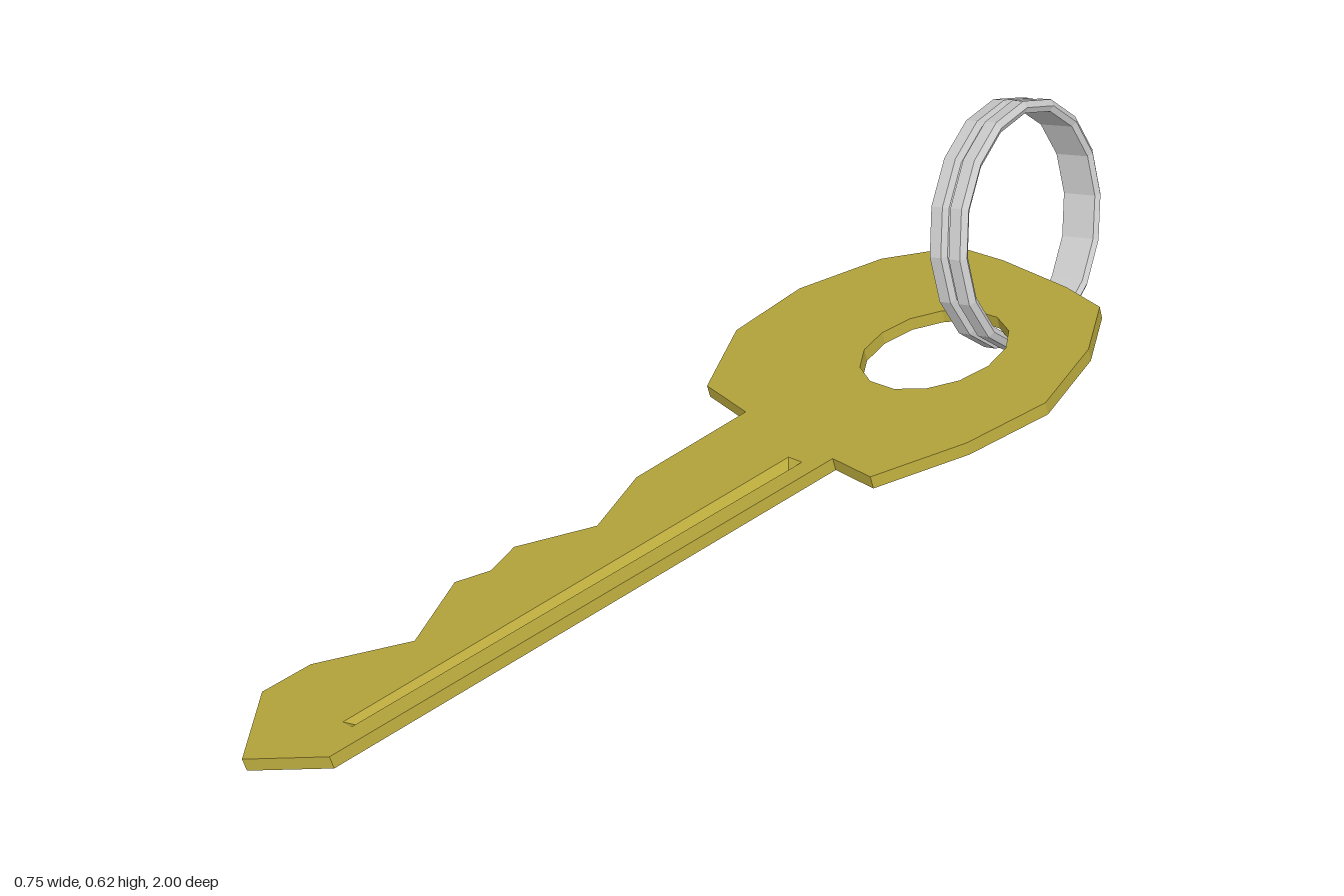
import * as THREE from 'three';
import { mergeGeometries } from 'three/addons/utils/BufferGeometryUtils.js';

const v2 = (pairs) => pairs.map(([x, y]) => new THREE.Vector2(x, y));

// Strip of quads joining a lower loop to an upper loop (counter-clockwise loops face outward).
function walls(loop, zLow, zHigh, lowLoop = loop) {
  const pos = [];
  loop.forEach((a, i) => {
    const j = (i + 1) % loop.length;
    const b = loop[j], la = lowLoop[i], lb = lowLoop[j];
    pos.push(la.x, la.y, zLow, lb.x, lb.y, zLow, b.x, b.y, zHigh);
    pos.push(la.x, la.y, zLow, b.x, b.y, zHigh, a.x, a.y, zHigh);
  });
  const g = new THREE.BufferGeometry();
  g.setAttribute('position', new THREE.Float32BufferAttribute(pos, 3));
  return g;
}

// Flat face with holes, optionally turned over.
function cap(outline, holes, z, flip) {
  const shape = new THREE.Shape(outline);
  holes.forEach((h) => shape.holes.push(new THREE.Path(h)));
  const indexed = new THREE.ShapeGeometry(shape);
  if (flip) indexed.index.array.reverse();
  const g = indexed.toNonIndexed();
  g.deleteAttribute('uv');
  g.deleteAttribute('normal');
  return g.translate(0, 0, z);
}

function keyGeometry() {
  // Head, straight back edge, tip and cut teeth, as seen from above
  const outline = v2([
    [-0.121, 0.16], [-0.264, 0.19], [-0.37, 0.363], [-0.372, 0.537], [-0.3, 0.696],
    [-0.185, 0.797], [-0.06, 0.793], [0.126, 0.765], [0.235, 0.735], [0.317, 0.61],
    [0.369, 0.437], [0.332, 0.275], [0.253, 0.115], [0.148, 0.125],
    [0.032, -0.908], [-0.1, -0.997], [-0.232, -0.87], [-0.22, -0.775], [-0.105, -0.632],
    [-0.185, -0.484], [-0.153, -0.426], [-0.174, -0.357], [-0.085, -0.235], [-0.142, -0.093],
  ]).reverse();

  // Round hole in the head, clockwise
  const hole = [];
  for (let i = 0; i < 14; i++) {
    const a = -(i / 14) * Math.PI * 2;
    hole.push(new THREE.Vector2(0.05 + 0.137 * Math.cos(a), 0.485 + 0.142 * Math.sin(a)));
  }

  // V-shaped groove along the blade, clockwise, and its floor line
  const groove = v2([[0.07, 0.09], [0.105, 0.09], [-0.002, -0.84], [-0.027, -0.84]]);
  const grooveFloor = v2([[0.085, 0.07], [0.085, 0.07], [-0.012, -0.82], [-0.012, -0.82]]);

  const t = 0.025;
  const g = mergeGeometries([
    cap(outline, [hole, groove], 0, false),
    cap(outline, [hole], -t, true),
    walls(outline, -t, 0),
    walls(hole, -t, 0),
    walls(groove, -0.016, 0, grooveFloor),
  ]);

  // Lay the key on its sloping plane: y = 0.182 + 0.26 x - 0.109 z
  const normal = new THREE.Vector3(-0.26, 1, 0.109).normalize();
  g.applyMatrix4(new THREE.Matrix4().makeBasis(
    new THREE.Vector3(1, 0.26, 0), new THREE.Vector3(0, 0.109, -1), normal));
  g.translate(0, 0.182, 0);
  g.computeVertexNormals();
  return g;
}

export function createModel() {
  const group = new THREE.Group();

  const key = new THREE.Mesh(keyGeometry(),
    new THREE.MeshStandardMaterial({ color: 0xb8a83c, flatShading: true }));
  key.name = 'key';
  group.add(key);

  // Split ring: two bevelled bands with a groove between them
  const profile = v2([
    [0.22, -0.036], [0.231, -0.042], [0.243, -0.034], [0.243, -0.009], [0.23, -0.003],
    [0.23, 0.003], [0.243, 0.009], [0.243, 0.034], [0.231, 0.042], [0.22, 0.036], [0.22, -0.036],
  ]);
  const ring = new THREE.Mesh(new THREE.LatheGeometry(profile, 16),
    new THREE.MeshStandardMaterial({ color: 0xcccccc, flatShading: true }));
  ring.name = 'splitRing';
  ring.quaternion.setFromUnitVectors(
    new THREE.Vector3(0, 1, 0), new THREE.Vector3(1, 0.3, -0.19).normalize());
  ring.position.set(0, 0.385, -0.756);
  group.add(ring);

  return group;
}
